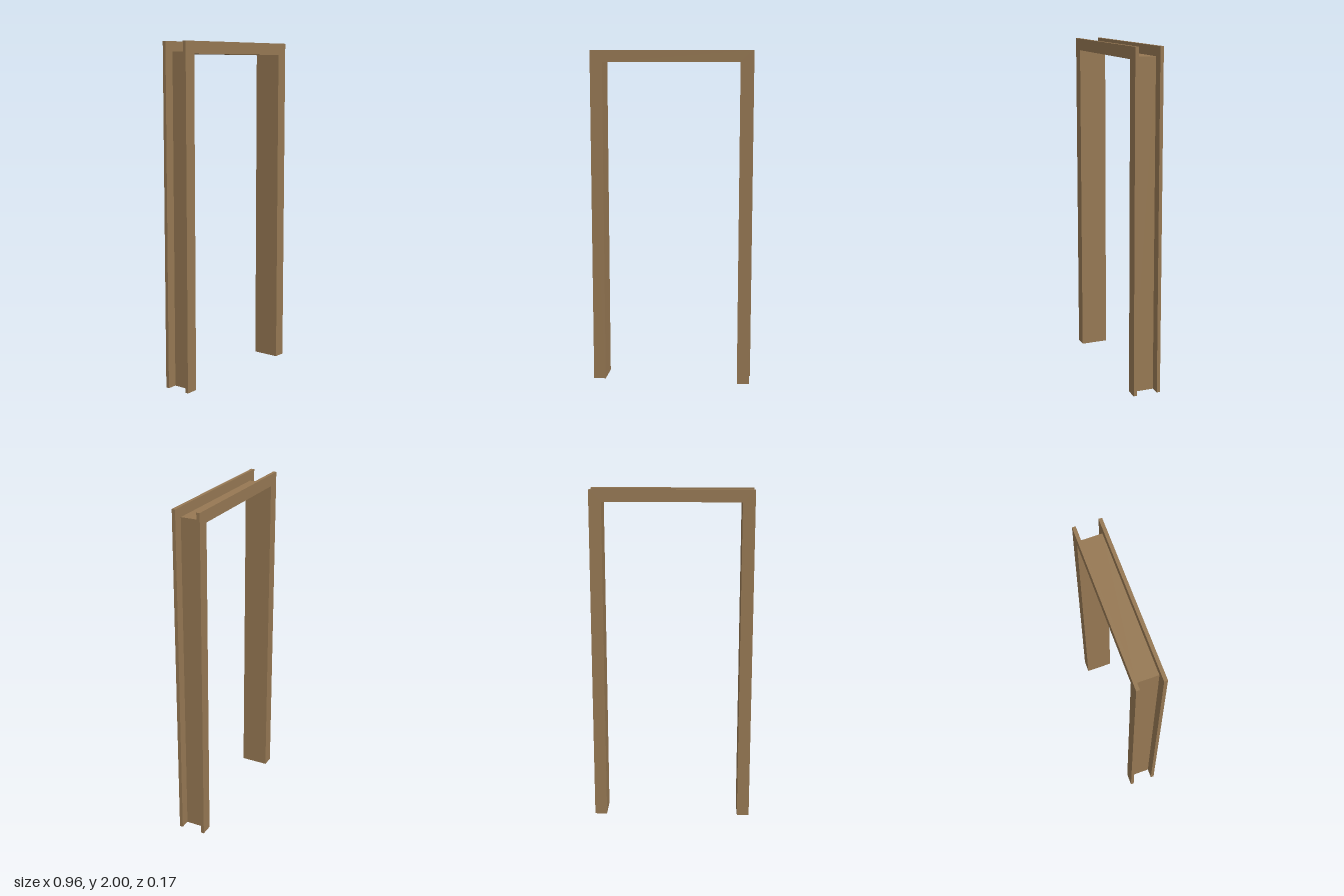
import * as THREE from 'three';

// Upside-down U profile standing on y = 0, extruded along z from z0 to z1
function archGeometry(outerX, outerY, innerX, innerY, z0, z1) {
  const shape = new THREE.Shape([
    [-outerX, 0], [-innerX, 0], [-innerX, innerY], [innerX, innerY],
    [innerX, 0], [outerX, 0], [outerX, outerY], [-outerX, outerY],
  ].map(([x, y]) => new THREE.Vector2(x, y)));
  const geometry = new THREE.ExtrudeGeometry(shape, { depth: z1 - z0, bevelEnabled: false });
  return geometry.translate(0, 0, z0);
}

export function createModel() {
  const group = new THREE.Group();
  group.name = 'doorFrame';
  const wood = new THREE.MeshStandardMaterial({ color: 0x967853 });
  wood.name = 'brown wood';

  const add = (name, geometry) => {
    const mesh = new THREE.Mesh(geometry, wood);
    mesh.name = name;
    group.add(mesh);
  };

  const openX = 0.405, openY = 1.93;   // clear opening
  const halfDepth = 0.083, trim = 0.02; // overall depth and casing thickness
  const inner = halfDepth - trim;

  // Thin lining between the two casings
  add('jambLining', archGeometry(0.42, 1.943, openX, openY, -inner, inner));
  // Wide flat casings on the front and back of the wall
  add('frontCasing', archGeometry(0.478, 2, openX, openY, inner, halfDepth));
  add('backCasing', archGeometry(0.478, 2, openX, openY, -halfDepth, -inner));

  return group;
}
